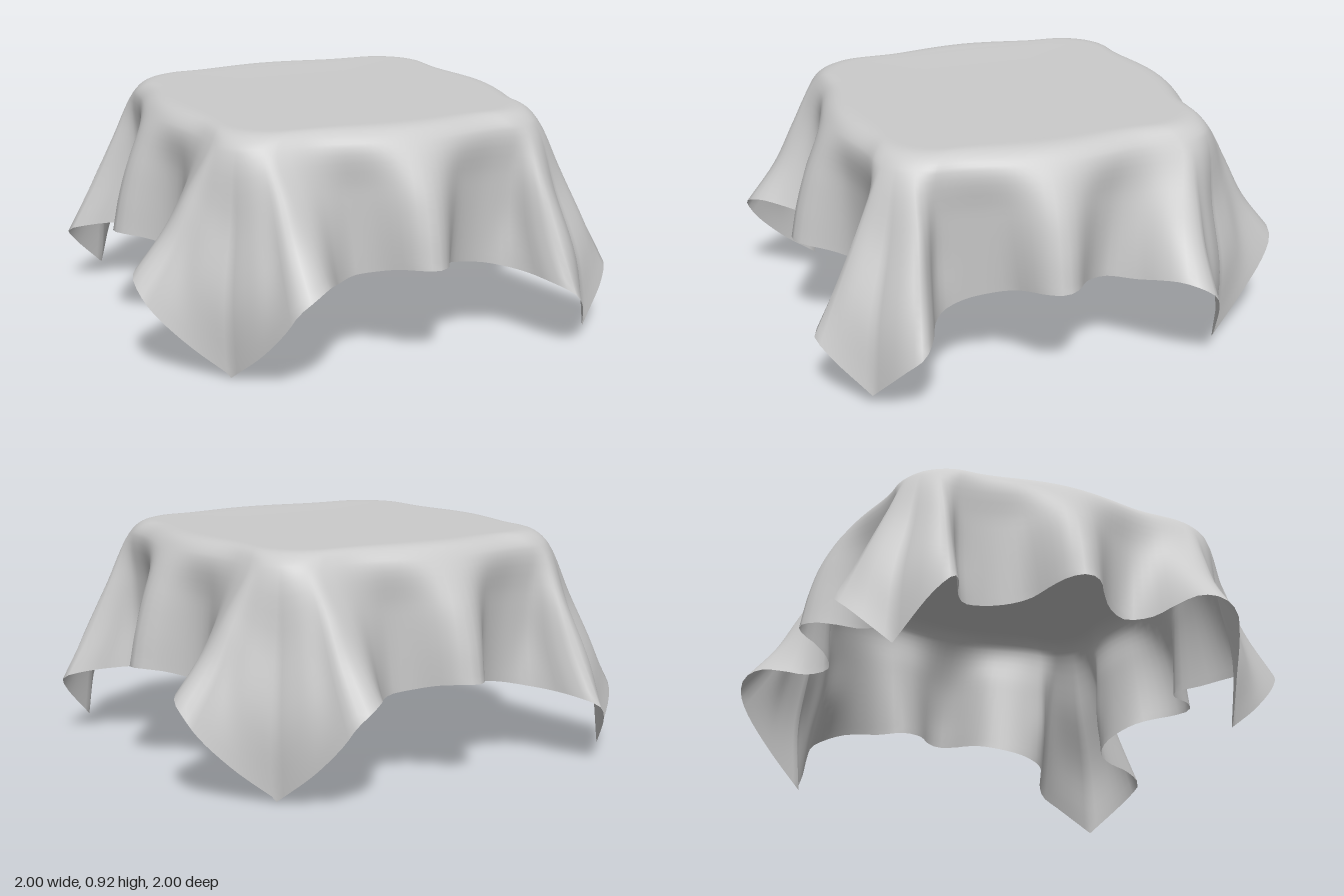
import * as THREE from 'three';

// Hem of one side, from the long corner tip to the short one (x, y, z).
const HEM = [
  [-0.68, 0.005, 0.67], [-0.61, 0.14, 0.83], [-0.56, 0.27, 0.95], [-0.53, 0.34, 0.99],
  [-0.47, 0.385, 0.995], [-0.40, 0.405, 0.95], [-0.34, 0.39, 0.87], [-0.28, 0.365, 0.78],
  [-0.19, 0.365, 0.715], [-0.11, 0.38, 0.75], [-0.05, 0.40, 0.82], [0, 0.41, 0.89],
  [0.06, 0.41, 0.92], [0.12, 0.405, 0.885], [0.17, 0.39, 0.80], [0.21, 0.37, 0.73],
  [0.28, 0.35, 0.685], [0.38, 0.33, 0.665], [0.47, 0.31, 0.69], [0.53, 0.30, 0.77],
  [0.57, 0.29, 0.88], [0.63, 0.26, 0.965], [0.69, 0.20, 0.93], [0.785, 0.045, 0.785],
].map((p) => new THREE.Vector3(...p));

const COLS = 64; // columns per side
const CORNER = 0.48; // share of a half side that lies on the straight table edge

// Point and outward direction on a rounded square; t runs -1..1 along one side.
function edge(t, half, y) {
  const r = 0.2, s = half - r, a = Math.abs(t), sign = Math.sign(t);
  const ang = (Math.max(0, a - CORNER) / (1 - CORNER)) * Math.PI / 4;
  const normal = new THREE.Vector3(sign * Math.sin(ang), 0, Math.cos(ang));
  const point = new THREE.Vector3(sign * Math.min(a / CORNER, 1) * s, y, s).addScaledVector(normal, r);
  return { point, normal };
}

// One strip of cloth from the middle of the top, over the edge, down to the hem.
function column(t, hem) {
  const step = THREE.MathUtils.smoothstep;
  const a = Math.abs(t), m = Math.abs(t - 0.04);
  const middle = 0.065 * (1 - step(m, 0, 0.42)); // swelling of the top edge
  const fold = 0.03 * (1 - step(m, 0.02, 0.2)); // rounded back of the middle fold
  const ridge = -0.025 * step(a, 0.4, 0.56) * (1 - step(a, 0.65, 0.85)); // hollow flap sides
  const tip = 0.04 * step(a, 0.65, 1); // corner flap curls in at its point
  const flat = edge(t, 0.55, 0.928).point;
  const lip = edge(t, 0.64 + middle * 0.8, 0.92).point;
  const { point: drop, normal } = edge(t, 0.688 + middle, 0.865);
  const upper = drop.clone().lerp(hem, 0.33).addScaledVector(normal, fold + ridge * 0.4 + tip * 0.4);
  const lower = drop.clone().lerp(hem, 0.67).addScaledVector(normal, fold * 0.8 + ridge + tip);
  const fall = new THREE.CatmullRomCurve3([flat, lip, drop, upper, lower, hem]);
  const top = [0, 0.35, 0.7].map((k) => new THREE.Vector3(flat.x * k, 0.925, flat.z * k));
  return [...top, ...fall.getPoints(25)];
}

function clothGeometry() {
  const hem = new THREE.CatmullRomCurve3(HEM);
  hem.arcLengthDivisions = 600;
  const side = [];
  for (let j = 0; j <= COLS; j++) {
    side.push(column((2 * j) / COLS - 1, hem.getPointAt(j / COLS)));
  }
  // The next side mirrors the first across the diagonal; the other two are half-turns.
  const mirrored = [...side].reverse().map((c) => c.map((p) => new THREE.Vector3(p.z, p.y, p.x)));
  const half = [...side.slice(0, COLS), ...mirrored.slice(0, COLS)];
  const turned = half.map((c) => c.map((p) => new THREE.Vector3(-p.x, p.y, -p.z)));
  const columns = [...half, ...turned];

  const rows = columns[0].length, n = columns.length, index = [];
  for (let j = 0; j < n; j++) {
    for (let i = 0; i < rows - 1; i++) {
      const a = j * rows + i, c = ((j + 1) % n) * rows + i;
      index.push(a, a + 1, c + 1);
      if (i > 0) index.push(a, c + 1, c);
    }
  }
  const geometry = new THREE.BufferGeometry().setFromPoints(columns.flat());
  geometry.setIndex(index);
  geometry.computeVertexNormals();
  return geometry;
}

export function createModel() {
  const group = new THREE.Group();
  group.name = 'drapedTablecloth';
  const material = new THREE.MeshStandardMaterial({ color: 0xcccccc, side: THREE.DoubleSide });
  const cloth = new THREE.Mesh(clothGeometry(), material);
  cloth.name = 'cloth';
  group.add(cloth);
  return group;
}
